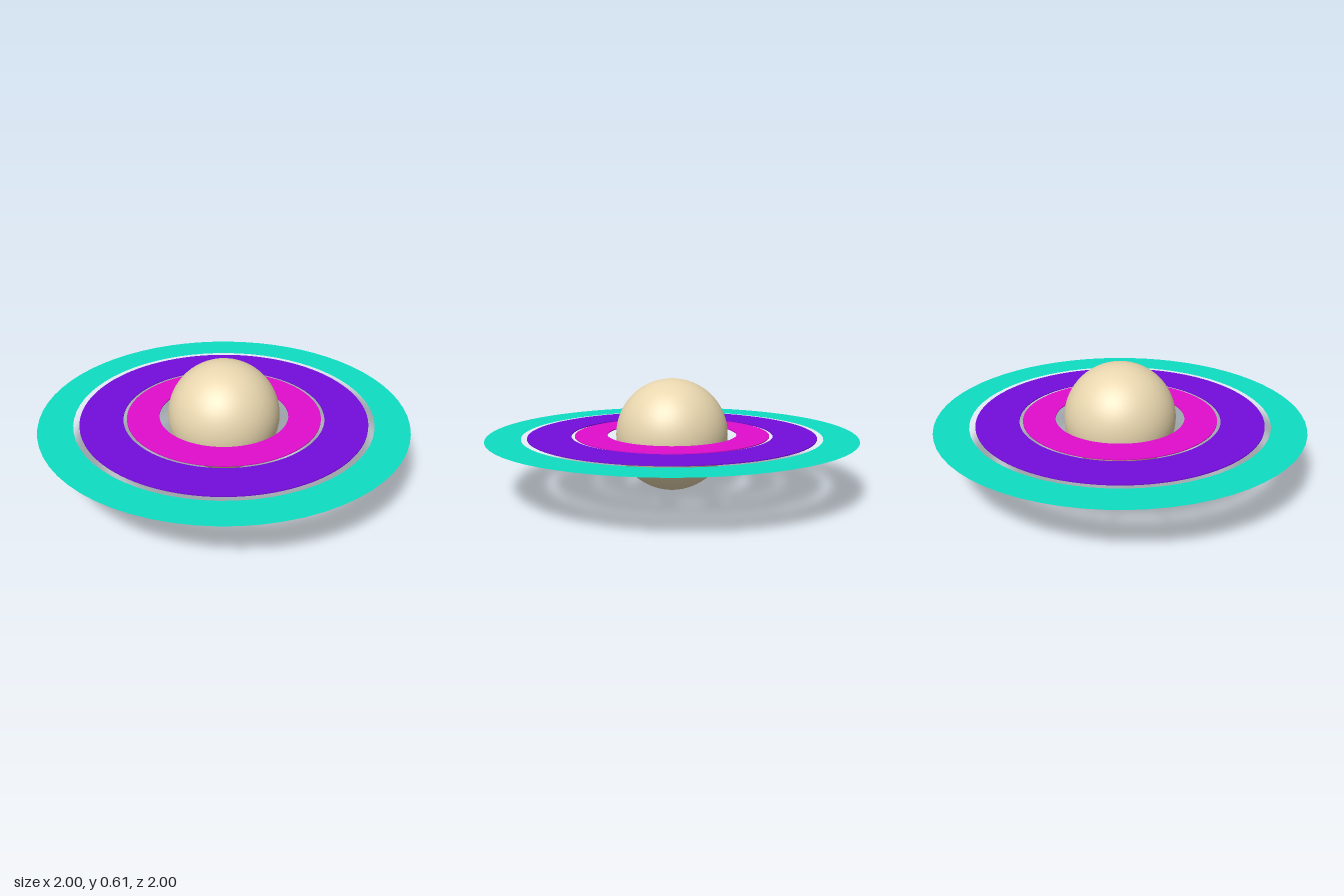
import * as THREE from 'three';

const CENTRE_Y = 0.305;

export function createModel() {
  const group = new THREE.Group();

  const add = (name, geometry, color, side = THREE.FrontSide) => {
    const mesh = new THREE.Mesh(geometry, new THREE.MeshStandardMaterial({ color, side }));
    mesh.name = name;
    mesh.position.y = CENTRE_Y;
    group.add(mesh);
  };

  // Smooth globe resting on the ground
  add('planet', new THREE.SphereGeometry(0.305, 64, 48), 0xe8d6ae);

  // Thin solid annulus lying flat
  const solidRing = (inner, outer, thickness) => {
    const shape = new THREE.Shape().absarc(0, 0, outer, 0, Math.PI * 2);
    shape.holes.push(new THREE.Path().absarc(0, 0, inner, 0, Math.PI * 2, true));
    return new THREE.ExtrudeGeometry(shape, { depth: thickness, bevelEnabled: false, curveSegments: 64 })
      .translate(0, 0, -thickness / 2)
      .rotateX(-Math.PI / 2);
  };
  add('innerRing', solidRing(0.352, 0.528, 0.005), 0xe00dcd);
  add('middleRing', solidRing(0.547, 0.78, 0.005), 0x730ddc);

  // Outermost ring is a flat sheet seen from both sides
  const sheet = new THREE.RingGeometry(0.813, 1, 64).rotateX(-Math.PI / 2);
  add('outerRing', sheet, 0x0edec3, THREE.DoubleSide);

  return group;
}
